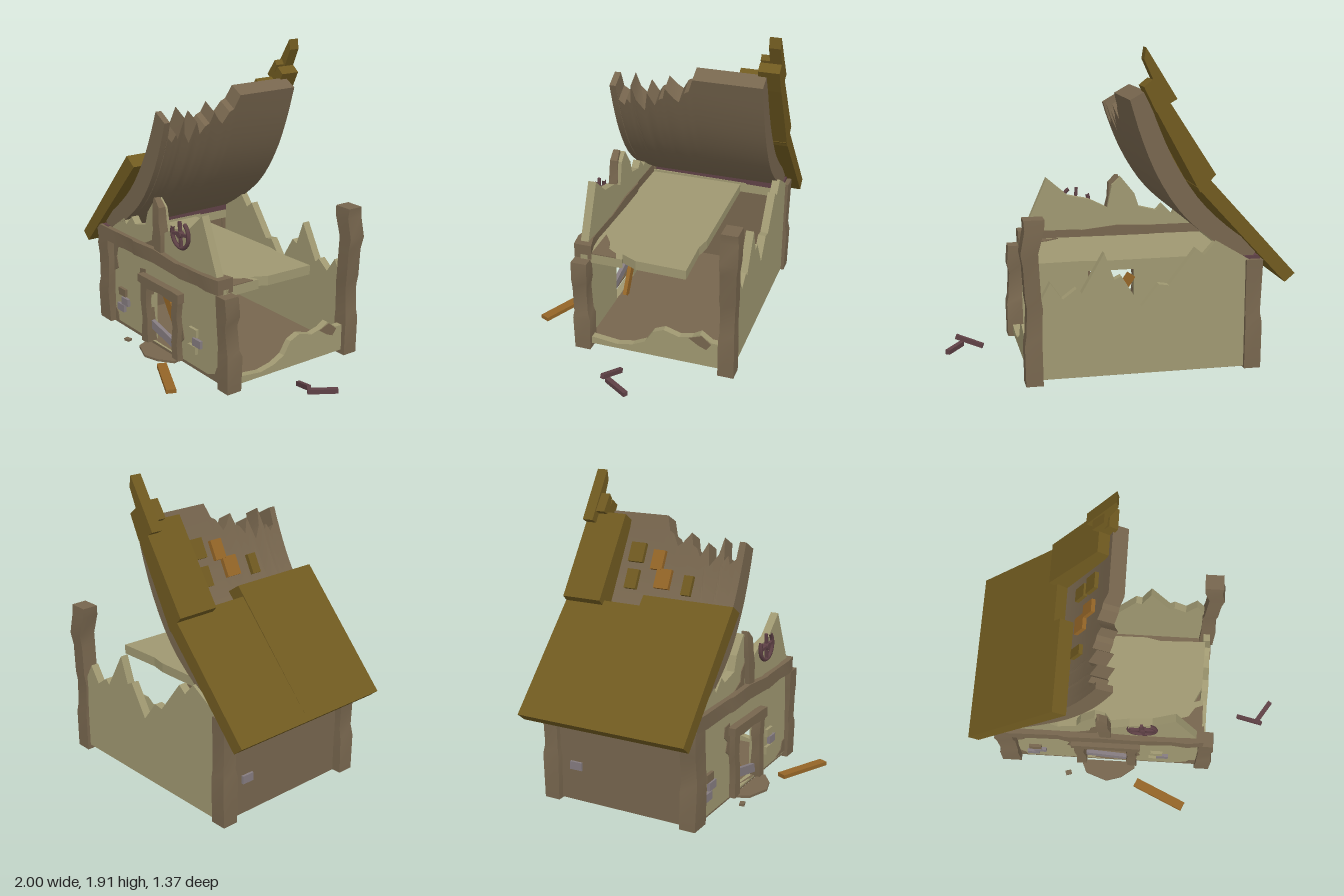
import * as THREE from 'three';
import { toCreasedNormals } from 'three/addons/utils/BufferGeometryUtils.js';

const paint = (name, hex) => {
  const m = new THREE.MeshStandardMaterial({ color: hex });
  m.name = name;
  return m;
};

export function createModel() {
  const house = new THREE.Group();
  house.name = 'ruinedHouse';
  const plaster = paint('plaster', 0x9f9871);
  const timber = paint('timber', 0x77664e);
  const thatch = paint('roofBoards', 0x705a20);
  const maroon = paint('maroonWood', 0x5f4146);
  const orange = paint('orangeWood', 0x946527);
  const stone = paint('stone', 0x857c80);

  const add = (name, geo, mat, parent = house) => {
    const mesh = new THREE.Mesh(geo, mat);
    mesh.name = name;
    parent.add(mesh);
    return mesh;
  };
  const box = (name, mat, w, h, d, x, y, z, rx = 0, ry = 0, rz = 0) => {
    const m = add(name, new THREE.BoxGeometry(w, h, d), mat);
    m.position.set(x, y, z);
    m.rotation.set(rx, ry, rz);
    return m;
  };
  // Outline in x,y pushed from z0 to z1
  const plate = (name, mat, pts, z0, z1, hole) => {
    const shape = new THREE.Shape(pts.map(p => new THREE.Vector2(...p)));
    if (hole) shape.holes.push(new THREE.Path(hole.map(p => new THREE.Vector2(...p))));
    const geo = new THREE.ExtrudeGeometry(shape, { depth: z1 - z0, bevelEnabled: false });
    return add(name, geo.translate(0, 0, z0), mat);
  };
  // Skin over matching rings of corners, closed with strip caps
  const loft = (rings, crease = 0.4) => {
    const pos = [], n = rings[0].length, last = rings.length - 1;
    const quad = (a, b, c, d) => [a, b, c, a, c, d].forEach(p => pos.push(...p));
    for (let i = 0; i < last; i++)
      for (let k = 0; k < n; k++) {
        const j = (k + 1) % n;
        quad(rings[i][k], rings[i][j], rings[i + 1][j], rings[i + 1][k]);
      }
    for (let k = 0; k < n / 2 - 1; k++) {
      const ids = [k, k + 1, n - 2 - k, n - 1 - k];
      quad(...ids.map(q => rings[last][q]));
      quad(...ids.reverse().map(q => rings[0][q]));
    }
    const geo = new THREE.BufferGeometry();
    geo.setAttribute('position', new THREE.Float32BufferAttribute(pos, 3));
    return toCreasedNormals(geo, crease);
  };
  // Crooked square timber along an axis; each point is x, y, z, half width u, half width v
  const crooked = (name, mat, axis, pts) => {
    const [u, v] = { x: [1, 2], y: [2, 0], z: [0, 1] }[axis];
    const rings = pts.map(([x, y, z, hu, hv]) => [[1, 1], [-1, 1], [-1, -1], [1, -1]].map(([a, b]) => {
      const c = [x, y, z];
      c[u] += a * hu;
      c[v] += b * hv;
      return c;
    }));
    return add(name, loft(rings), mat);
  };

  // Floors and walls
  box('groundFloor', timber, 1.28, 0.02, 0.95, -0.13, 0.03, -0.13);
  const doorway = [[-0.27, 0.04], [-0.27, 0.43], [0.04, 0.43], [0.04, 0.04]];
  plate('frontWall', plaster, [[-0.77, 0.03], [0.5, 0.03], [0.5, 0.63], [-0.77, 0.63]], 0.3, 0.345, doorway);
  plate('frontGable', plaster, [[-0.74, 0.62], [0.47, 0.66], [0.31, 1.03], [0.17, 0.91], [0.03, 0.88], [-0.09, 0.82],
    [-0.12, 0.97], [-0.18, 1.02], [-0.27, 0.91], [-0.3, 0.82], [-0.42, 0.79], [-0.46, 0.83], [-0.53, 0.76],
    [-0.55, 0.8], [-0.7, 0.7]], 0.31, 0.36);
  plate('backWall', plaster, [[-0.76, 0.03], [0.5, 0.03], [0.5, 0.47], [0.43, 0.6], [0.36, 0.5], [0.28, 0.56], [0.25, 0.53],
    [0.12, 0.76], [0.06, 0.6], [0.02, 0.62], [-0.1, 0.43], [-0.2, 0.56], [-0.26, 0.55], [-0.42, 0.76], [-0.47, 0.72],
    [-0.54, 0.8], [-0.74, 0.68]], -0.63, -0.58);
  box('leftWall', timber, 0.05, 0.62, 0.94, -0.755, 0.34, -0.13);
  box('leftWallBand', plaster, 0.02, 0.07, 0.9, -0.725, 0.615, -0.13);
  crooked('leftTopBeam', maroon, 'z', [[-0.76, 0.67, -0.62, 0.05, 0.03], [-0.77, 0.67, -0.1, 0.05, 0.025], [-0.78, 0.66, 0.38, 0.05, 0.04]]);
  // Broken right wall, drawn along -z then turned to face +x
  const rightWall = plate('rightWallRemnant', plaster, [[-0.28, 0.03], [0.57, 0.03], [0.57, 0.2], [0.5, 0.2], [0.43, 0.25],
    [0.38, 0.22], [0.3, 0.2], [0.2, 0.23], [0.13, 0.2], [0.08, 0.12], [0.0, 0.08], [-0.1, 0.06], [-0.28, 0.08]], 0.5, 0.545);
  rightWall.rotation.y = Math.PI / 2;
  const rightStain = plate('rightWallStain', timber, [[0.44, 0.24], [0.36, 0.21], [0.42, 0.17], [0.47, 0.15], [0.5, 0.19]], 0.545, 0.55);
  rightStain.rotation.y = Math.PI / 2;
  // Upper floor, drawn as x and -z then laid flat
  const upper = plate('upperFloor', plaster, [[-0.73, -0.31], [0.49, -0.31], [0.49, -0.08], [0.43, -0.1], [0.48, 0.0],
    [0.49, 0.32], [0.2, 0.31], [0.1, 0.33], [-0.73, 0.32]], 0.575, 0.635);
  upper.rotation.x = -Math.PI / 2;
  const upperStain = plate('upperFloorStain', timber, [[0.24, -0.28], [0.49, -0.28], [0.49, -0.12], [0.44, -0.14],
    [0.4, -0.2], [0.33, -0.22]], 0.635, 0.64);
  upperStain.rotation.x = -Math.PI / 2;

  // Bare patches on the front
  const patches = [
    [[-0.71, 0.61], [-0.5, 0.61], [-0.52, 0.58], [-0.66, 0.57], [-0.68, 0.5], [-0.66, 0.42], [-0.71, 0.39]],
    [[-0.71, 0.04], [-0.67, 0.04], [-0.68, 0.1], [-0.71, 0.13]],
    [[0.34, 0.04], [0.48, 0.04], [0.48, 0.13], [0.44, 0.12], [0.42, 0.07]],
    [[-0.33, 0.3], [-0.33, 0.51], [-0.39, 0.5], [-0.4, 0.44], [-0.36, 0.4], [-0.38, 0.34]],
    [[0.06, 0.14], [0.1, 0.18], [0.08, 0.26], [0.06, 0.27]],
  ];
  patches.forEach(p => plate('barePatch', timber, p, 0.345, 0.35));
  plate('gablePatch', timber, [[-0.3, 0.7], [-0.17, 0.7], [-0.17, 0.84], [-0.21, 0.8], [-0.22, 0.74]], 0.36, 0.365);

  // Corner posts
  const post = (name, pts) => crooked(name, timber, 'y', pts);
  post('frontLeftPost', [[-0.775, 0.03, 0.34, 0.05, 0.065], [-0.775, 0.25, 0.345, 0.055, 0.06], [-0.765, 0.32, 0.345, 0.05, 0.055],
    [-0.77, 0.48, 0.34, 0.05, 0.06], [-0.78, 0.56, 0.34, 0.055, 0.06], [-0.77, 0.68, 0.34, 0.05, 0.05]]);
  post('frontRightPost', [[0.525, 0, 0.32, 0.05, 0.05], [0.53, 0.22, 0.32, 0.055, 0.05], [0.525, 0.26, 0.325, 0.045, 0.045],
    [0.52, 0.42, 0.335, 0.045, 0.04], [0.525, 0.48, 0.33, 0.05, 0.05], [0.52, 0.6, 0.335, 0.05, 0.045]]);
  post('backRightPost', [[0.525, 0, -0.6, 0.05, 0.05], [0.53, 0.24, -0.6, 0.05, 0.05], [0.525, 0.3, -0.6, 0.045, 0.045],
    [0.52, 0.46, -0.6, 0.045, 0.045], [0.53, 0.52, -0.6, 0.05, 0.045], [0.54, 0.7, -0.6, 0.05, 0.045],
    [0.55, 0.78, -0.605, 0.055, 0.05], [0.52, 0.91, -0.6, 0.055, 0.055], [0.52, 0.97, -0.6, 0.05, 0.06]]);
  post('backLeftPost', [[-0.77, 0.02, -0.6, 0.05, 0.05], [-0.77, 0.3, -0.6, 0.055, 0.05], [-0.765, 0.36, -0.6, 0.045, 0.045],
    [-0.77, 0.68, -0.6, 0.05, 0.05]]);
  post('gablePost', [[-0.12, 0.68, 0.36, 0.03, 0.035], [-0.125, 0.82, 0.36, 0.03, 0.04], [-0.135, 0.88, 0.36, 0.03, 0.035],
    [-0.14, 0.98, 0.36, 0.025, 0.035], [-0.16, 1.03, 0.36, 0.02, 0.008]]);
  crooked('frontBeam', timber, 'x', [[-0.83, 0.66, 0.35, 0.04, 0.05], [-0.7, 0.65, 0.35, 0.045, 0.045], [-0.42, 0.65, 0.35, 0.045, 0.04],
    [-0.38, 0.65, 0.35, 0.045, 0.05], [-0.16, 0.66, 0.35, 0.045, 0.05], [0.08, 0.64, 0.35, 0.04, 0.045],
    [0.12, 0.64, 0.35, 0.045, 0.045], [0.3, 0.645, 0.35, 0.04, 0.04], [0.4, 0.65, 0.35, 0.045, 0.05], [0.5, 0.65, 0.33, 0.045, 0.055]]);

  // Door frame
  post('doorJamb', [[-0.295, 0.03, 0.35, 0.035, 0.035], [-0.29, 0.2, 0.355, 0.03, 0.03], [-0.305, 0.3, 0.355, 0.03, 0.03], [-0.295, 0.46, 0.355, 0.03, 0.035]]);
  post('doorJamb', [[0.05, 0.03, 0.35, 0.035, 0.03], [0.04, 0.14, 0.355, 0.03, 0.03], [0.05, 0.24, 0.355, 0.025, 0.03], [0.04, 0.32, 0.355, 0.03, 0.03], [0.06, 0.45, 0.355, 0.03, 0.03]]);
  crooked('doorLintel', timber, 'x', [[-0.35, 0.46, 0.36, 0.025, 0.035], [-0.24, 0.45, 0.36, 0.035, 0.035], [-0.1, 0.455, 0.36, 0.028, 0.035], [0.02, 0.45, 0.36, 0.035, 0.035], [0.1, 0.45, 0.36, 0.03, 0.035]]);
  box('fallenPlank', orange, 0.4, 0.06, 0.025, -0.13, 0.21, 0.26, 0, 0, -0.98);
  box('barPlank', stone, 0.34, 0.055, 0.025, -0.1, 0.12, 0.34, 0, 0, -0.22);

  // Facing stones
  for (const [x, y, mat] of [[-0.6, 0.27, timber], [-0.57, 0.21, stone], [-0.62, 0.155, stone],
    [0.21, 0.27, plaster], [0.25, 0.21, stone], [0.2, 0.155, plaster]]) box('facingStone', mat, 0.08, 0.05, 0.03, x, y, 0.35);
  box('sideStone', stone, 0.03, 0.05, 0.08, -0.78, 0.25, -0.44);

  // Sagging roof shell with a torn upper edge
  const curve = pts => new THREE.CatmullRomCurve3(pts.map(p => new THREE.Vector3(p[0], p[1], 0)));
  const under = curve([[-0.74, 0.66], [-0.55, 0.78], [-0.35, 0.95], [-0.2, 1.17], [-0.1, 1.4], [-0.03, 1.62]]);
  const over = curve([[-0.8, 0.74], [-0.62, 0.87], [-0.45, 1.03], [-0.3, 1.25], [-0.2, 1.46], [-0.12, 1.67]]);
  const torn = [[-0.61, 1.67], [-0.18, 1.67], [-0.15, 1.56], [-0.12, 1.54], [-0.08, 1.45], [-0.05, 1.48], [0, 1.56], [0.02, 1.47],
    [0.05, 1.45], [0.08, 1.39], [0.12, 1.5], [0.15, 1.33], [0.2, 1.42], [0.22, 1.55], [0.24, 1.38], [0.26, 1.42], [0.28, 1.36],
    [0.315, 1.4], [0.32, 1.53], [0.36, 1.53]];
  const rows = 14;
  add('roofShell', loft(torn.map(([z, top]) => {
    const end = 1 - (1.67 - top) * 0.72, ring = [];
    for (let i = 0; i <= rows; i++) ring.push(under.getPoint(end * i / rows));
    for (let i = rows; i >= 0; i--) ring.push(over.getPoint(end * i / rows));
    return ring.map(p => [p.x, p.y, z]);
  })), timber);

  // Outer roof boards, stepping up toward the back
  plate('roofBoardLower', thatch, [[-1, 0.6], [-0.94, 0.55], [-0.34, 1.19], [-0.42, 1.245]], -0.18, 0.41);
  plate('roofBoardLower', thatch, [[-1, 0.6], [-0.94, 0.55], [-0.4, 1.13], [-0.46, 1.19]], -0.69, -0.18);
  plate('roofBoardMiddle', thatch, [[-0.51, 1.2], [-0.42, 1.1], [-0.13, 1.62], [-0.2, 1.67]], -0.69, -0.43);
  plate('roofBoardMiddleTip', thatch, [[-0.24, 1.6], [-0.16, 1.56], [-0.09, 1.7], [-0.14, 1.74]], -0.69, -0.56);
  plate('roofBoardTop', thatch, [[-0.28, 1.63], [-0.21, 1.59], [-0.09, 1.85], [-0.1, 1.915]], -0.69, -0.62);
  plate('roofBoardChip', thatch, [[-0.24, 1.68], [-0.19, 1.65], [-0.15, 1.75], [-0.17, 1.78]], -0.63, -0.56);
  for (const [x, y, z, w, mat] of [[-0.29, 1.32, -0.12, 0.1, orange], [-0.24, 1.42, -0.18, 0.08, orange], [-0.3, 1.3, -0.33, 0.08, thatch],
    [-0.23, 1.45, -0.33, 0.1, thatch], [-0.3, 1.3, 0.05, 0.06, thatch]]) box('roofLath', mat, 0.12, 0.025, w, x, y, z, 0, 0, 1.1);

  // Broken wheel on the gable
  const wheel = new THREE.Group();
  wheel.name = 'brokenWheel';
  wheel.position.set(0.11, 0.87, 0.375);
  house.add(wheel);
  add('wheelRim', new THREE.TorusGeometry(0.085, 0.013, 6, 20, 4.6), maroon, wheel).rotation.z = 2.7;
  for (const a of [0.1, 1.65]) add('wheelSpoke', new THREE.BoxGeometry(0.16, 0.018, 0.018), maroon, wheel).rotation.z = a;
  add('wheelHub', new THREE.CylinderGeometry(0.022, 0.022, 0.035, 8), maroon, wheel).rotation.x = Math.PI / 2;

  // Debris on the ground
  box('loosePlank', orange, 0.36, 0.025, 0.06, 0.245, 0.045, 0.58, 0, -0.43, 0);
  box('looseStick', maroon, 0.18, 0.028, 0.025, 0.845, 0.07, 0.02, 0, -0.33, 0.3);
  box('looseStick', maroon, 0.18, 0.028, 0.03, 0.94, 0.055, -0.045, 0, 1, 0);
  const step = plate('doorRubble', timber, [[-0.3, -0.36], [-0.26, -0.45], [-0.12, -0.5], [-0.02, -0.47], [0.07, -0.4], [0.06, -0.36]], 0.02, 0.035);
  step.rotation.x = -Math.PI / 2;
  box('chip', timber, 0.04, 0.015, 0.03, -0.38, 0.035, 0.46, 0, 0.3, 0);
  return house;
}
